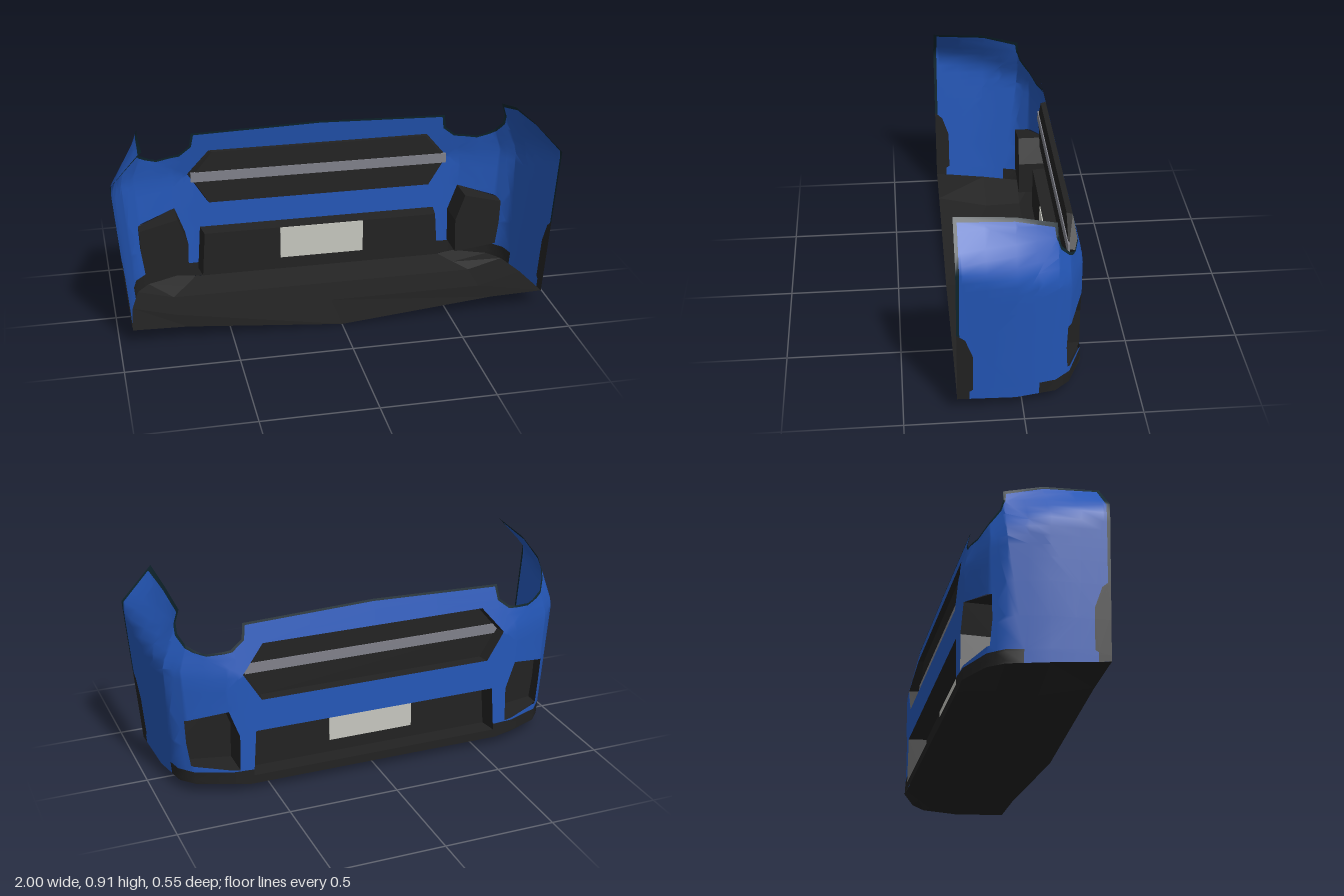
import * as THREE from 'three';
import { mergeVertices } from 'three/addons/utils/BufferGeometryUtils.js';

const makeMaterial = (name, color) => {
  const m = new THREE.MeshStandardMaterial({ color, side: THREE.DoubleSide });
  m.name = name;
  return m;
};

// Plan columns, half side: s (distance round the skin), x and z of the skin,
// height where the wing folds inward, x and y of its top edge
const COLUMNS = [
  [0, 0, -0.275, 1, 0, 1.1],
  [0.6, 0.6, -0.275, 1, 0.6, 1.1],
  [0.69, 0.695, -0.268, 0.8, 0.68, 1],
  [0.84, 0.87, -0.205, 0.6, 0.8, 0.85],
  [0.93, 0.935, -0.14, 0.62, 0.85, 0.855],
  [1.1, 0.98, 0.03, 0.68, 0.86, 0.895],
  [1.34, 1.0, 0.275, 0.76, 0.86, 0.91],
];
const GRID_S = [0, 0.3, 0.6, 0.645, 0.69, 0.765, 0.84, 0.885, 0.93, 1.015, 1.1, 1.22, 1.35];
const GRID_Y = [0, 0.1, 0.25, 0.4, 0.5, 0.56, 0.6, 0.64, 0.68, 0.72, 0.76, 0.8, 0.86, 0.95];

// Skin surface: maps (s, y) to a point in space
function skin(sSigned, y) {
  const s = Math.abs(sSigned);
  let i = 0;
  while (i < COLUMNS.length - 2 && s > COLUMNS[i + 1][0]) i++;
  const a = COLUMNS[i], b = COLUMNS[i + 1];
  const t = (s - a[0]) / (b[0] - a[0]);
  const [, x0, z0, fold, topX, topY] = a.map((v, k) => v + (b[k] - v) * t);
  let x = x0;
  if (x0 > 0.6) {
    x = y < fold
      ? 0.6 + (x0 - 0.6) * (0.84 + 0.16 * y / fold)
      : x0 + (topX - x0) * Math.min(1, (y - fold) / (topY - fold));
  }
  const lean = Math.max(0, y - 0.56) * 0.23 * THREE.MathUtils.clamp((0.93 - s) / 0.25, 0, 1);
  return [sSigned < 0 ? -x : x, y, z0 + lean];
}

// Keep the part of a polygon on one side of a grid line
function clip(poly, axis, limit, sign) {
  const out = [];
  poly.forEach((p, i) => {
    const q = poly[(i + 1) % poly.length];
    const dp = (p[axis] - limit) * sign, dq = (q[axis] - limit) * sign;
    if (dp >= 0) out.push(p);
    if (dp * dq < 0) {
      const t = dp / (dp - dq);
      out.push([p[0] + (q[0] - p[0]) * t, p[1] + (q[1] - p[1]) * t]);
    }
  });
  return out;
}

const toVectors = (pts) => pts.map(([x, y]) => new THREE.Vector2(x, y));

// Wrap a flat outline with holes over one half of the skin
function wrap(outline, holes, side) {
  const shape = new THREE.Shape(toVectors(outline));
  holes.forEach((h) => shape.holes.push(new THREE.Path(toVectors(h))));
  const flat = new THREE.ShapeGeometry(shape);
  const p = flat.attributes.position, idx = flat.index.array, verts = [];
  for (let i = 0; i < idx.length; i += 3) {
    const tri = [0, 1, 2].map((k) => [p.getX(idx[i + k]), p.getY(idx[i + k])]);
    for (let c = 0; c < GRID_S.length - 1; c++) {
      const strip = clip(clip(tri, 0, GRID_S[c], 1), 0, GRID_S[c + 1], -1);
      if (strip.length < 3) continue;
      for (let r = 0; r < GRID_Y.length - 1; r++) {
        const cell = clip(clip(strip, 1, GRID_Y[r], 1), 1, GRID_Y[r + 1], -1);
        for (let k = 1; k < cell.length - 1; k++) {
          const fan = [cell[0], cell[k + 1], cell[k]];
          if (side < 0) fan.reverse();
          fan.forEach(([s, y]) => verts.push(...skin(s * side, y)));
        }
      }
    }
  }
  const g = new THREE.BufferGeometry();
  g.setAttribute('position', new THREE.Float32BufferAttribute(verts, 3));
  const merged = mergeVertices(g, 1e-4);
  merged.computeVertexNormals();
  return merged;
}

function fromTriangles(verts) {
  const g = new THREE.BufferGeometry();
  g.setAttribute('position', new THREE.Float32BufferAttribute(verts.flat(), 3));
  g.computeVertexNormals();
  return g;
}

// Recess: walls from the skin back to a flat panel at depth z
function pocket(outline, z, inset) {
  const cx = outline.reduce((a, p) => a + p[0], 0) / outline.length;
  const front = outline.map(([s, y]) => skin(s, y));
  const back = front.map(([x, y]) => [x - Math.sign(x - cx) * inset, y, z]);
  const tris = [];
  front.forEach((a, i) => {
    const j = (i + 1) % front.length;
    tris.push(a, back[i], front[j], front[j], back[i], back[j]);
  });
  THREE.ShapeUtils.triangulateShape(toVectors(back), []).forEach(([a, b, c]) =>
    tris.push(back[a], back[c], back[b]));
  return fromTriangles(tris);
}

// Floor pan from cross rows: outer x, outer y, middle x, middle y, centre y, z
function floorPan() {
  const rows = [
    [0.942, 0.075, 0.7, 0.068, 0.003, 0.275],
    [0.925, 0.055, 0.72, 0.0, 0.0, 0.03],
    [0.886, 0.05, 0.72, 0.005, 0.005, -0.14],
    [0.83, 0.053, 0.66, 0.022, 0.022, -0.205],
    [0.682, 0.055, 0.6, 0.04, 0.04, -0.273],
  ].map(([ox, oy, mx, my, cy, z]) =>
    [[-ox, oy, z], [-mx, my, z], [0, cy, z], [mx, my, z], [ox, oy, z]]);
  const tris = [];
  for (let r = 0; r < rows.length - 1; r++) {
    for (let c = 0; c < 4; c++) {
      const a = rows[r][c], b = rows[r][c + 1], d = rows[r + 1][c], e = rows[r + 1][c + 1];
      tris.push(a, b, d, b, e, d);
    }
  }
  return fromTriangles(tris);
}

export function createModel() {
  const blue = makeMaterial('blue paint', 0x2457b8);
  const black = makeMaterial('black plastic', 0x222222);
  const edge = makeMaterial('dark edge', 0x10262e);
  const grey = makeMaterial('grey trim', 0x80818a);
  const plateColor = makeMaterial('plate', 0xc6c7bf);
  const model = new THREE.Group();
  model.name = 'frontBumper';
  const add = (name, geometry, material) => {
    const m = new THREE.Mesh(geometry, material);
    m.name = name;
    model.add(m);
    return m;
  };
  const flip = (pts) => pts.map(([s, y]) => [-s, y]).reverse();

  // Half outlines in (s, y)
  const topOuter = [[1.34, 0.42], [1.34, 0.91], [1.1, 0.895], [0.93, 0.855], [0.925, 0.8], [0.9, 0.755],
    [0.84, 0.708], [0.75, 0.67], [0.66, 0.68], [0.61, 0.72], [0.6, 0.787], [0, 0.805]];
  const topInner = [[1.328, 0.41], [1.325, 0.892], [1.1, 0.88], [0.942, 0.84], [0.936, 0.795], [0.908, 0.746],
    [0.845, 0.698], [0.75, 0.66], [0.655, 0.67], [0.6, 0.715], [0.59, 0.777], [0, 0.795]];
  const rimPatch = [[1.29, 0.071], [1.29, 0.11], [1.275, 0.12], [1.275, 0.3], [1.305, 0.39], [1.328, 0.41]];
  const fog = [[0.65, 0.115], [0.855, 0.14], [0.865, 0.25], [0.86, 0.36], [0.69, 0.405], [0.645, 0.28]];
  const upper = [[0.54, 0.44], [0.62, 0.57], [0.52, 0.69]];
  const lower = [[0.585, 0.08], [0.57, 0.295]];
  const body = [[0, 0.295], lower[1], [0.583, 0.11], [1, 0.11], [1, 0.052], [1.1, 0.055],
    ...rimPatch, ...topInner.slice(1, -1), [0, 0.795], [0, 0.69], upper[2], upper[1], upper[0], [0, 0.44]];
  const lip = [[0, 0.04], [0.6, 0.04], [0.69, 0.055], [0.93, 0.05], [1, 0.052], [1, 0.11],
    [0.583, 0.11], [0.585, 0.08], [0, 0.08]];

  // Painted skin, edges, lip and recesses on both sides
  for (const [side, label] of [[1, 'left'], [-1, 'right']]) {
    add(label + 'Skin', wrap(body, [fog], side), blue);
    add(label + 'Edge', wrap([...topOuter, ...[...topInner].reverse()], [], side), edge);
    add(label + 'Lip', wrap(lip, [], side), black);
    add(label + 'WheelArchPatch', wrap([...rimPatch, [1.34, 0.42], [1.34, 0.075]], [], side), black);
    add(label + 'FogLightPocket', pocket(side > 0 ? fog : flip(fog), -0.13, 0), black);
  }

  // Grilles and floor
  add('upperGrille', pocket([...upper, ...flip(upper)], -0.22, 0.012), black);
  add('lowerGrille', pocket([...lower, ...flip(lower)], -0.19, 0.012), black);
  add('floorPan', floorPan(), black);

  // Grille bar and number plate, seen from both faces
  add('grilleBar', new THREE.BoxGeometry(1.22, 0.047, 0.009), grey).position.set(0, 0.572, -0.22);
  add('numberPlate', new THREE.BoxGeometry(0.4, 0.155, 0.009), plateColor).position.set(0, 0.217, -0.19);
  return model;
}
